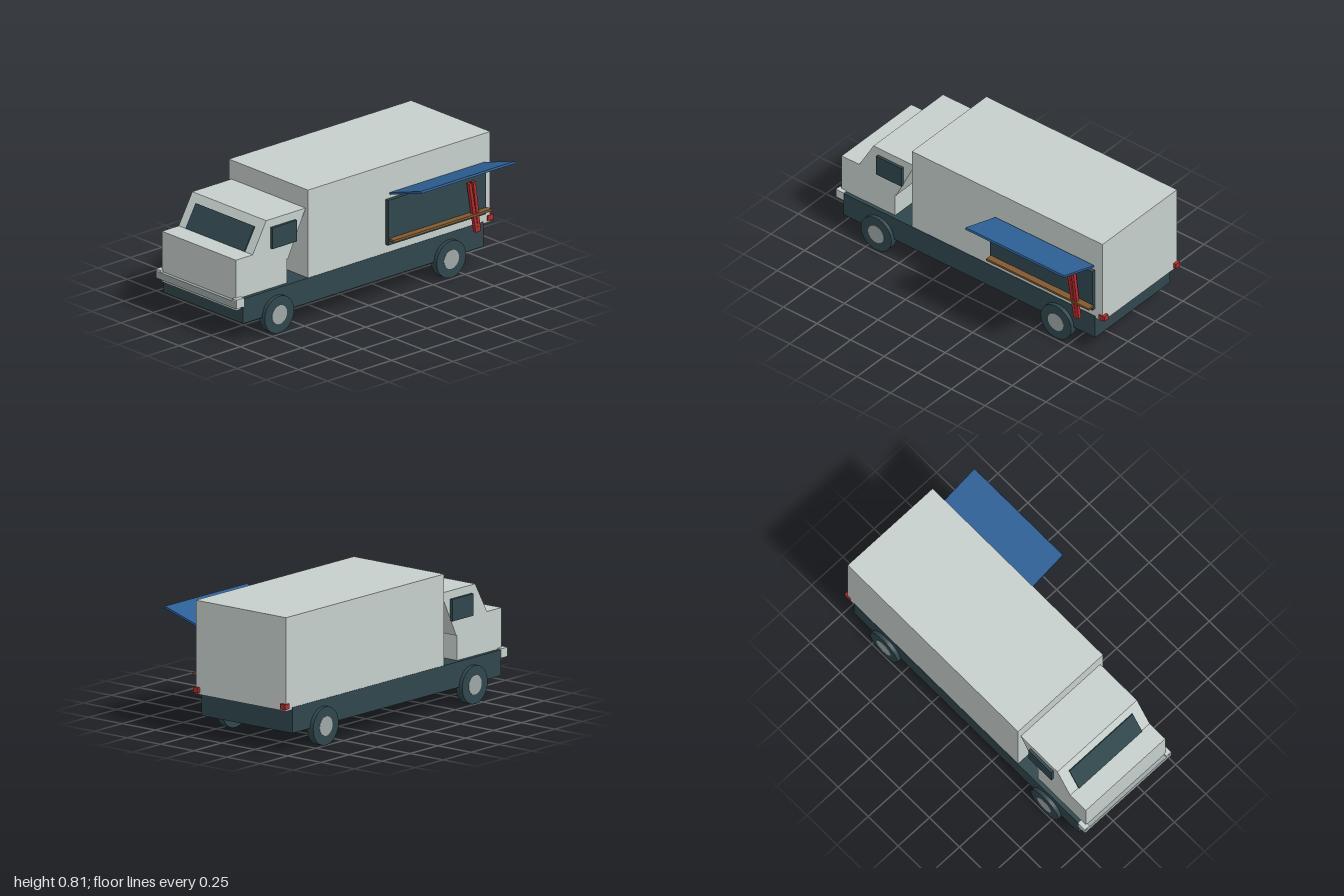
import * as THREE from 'three';

const CX = -0.13; // centre line of the truck body

export function createModel() {
  const model = new THREE.Group();
  model.name = 'foodTruck';

  const mat = (name, color) => {
    const m = new THREE.MeshStandardMaterial({ color });
    m.name = name;
    return m;
  };
  const paint = mat('pale grey paint', 0xc6cfcc);
  const steel = mat('mid grey metal', 0x9da6a6);
  const dark = mat('dark slate', 0x2f464c);
  const red = mat('red', 0xb42a2c);
  const blue = mat('blue', 0x2d6096);
  const wood = mat('brown wood', 0x80592f);

  const add = (name, geometry, material) => {
    const mesh = new THREE.Mesh(geometry, material);
    mesh.name = name;
    model.add(mesh);
    return mesh;
  };
  // Box given by its limits on each axis
  const box = (name, material, [x0, x1], [y0, y1], [z0, z1]) => {
    const mesh = add(name, new THREE.BoxGeometry(x1 - x0, y1 - y0, z1 - z0), material);
    mesh.position.set((x0 + x1) / 2, (y0 + y1) / 2, (z0 + z1) / 2);
    return mesh;
  };

  // Chassis and cargo body
  box('chassis', dark, [-0.472, 0.212], [0.118, 0.271], [-0.928, 0.944]);
  box('cargoBody', paint, [-0.47, 0.21], [0.257, 0.813], [-0.981, 0.437]);

  // Cab: side profile (z, y) extruded across the width
  const profile = [
    [0.58, 0.2], [0.978, 0.2], [0.978, 0.512], [0.848, 0.512],
    [0.742, 0.696], [0.436, 0.696], [0.572, 0.42], [0.58, 0.42],
  ].map(([z, y]) => new THREE.Vector2(z, y));
  const cabGeo = new THREE.ExtrudeGeometry(new THREE.Shape(profile), { depth: 0.636, bevelEnabled: false });
  cabGeo.rotateY(-Math.PI / 2);
  add('cab', cabGeo, paint).position.x = CX + 0.318;

  // Windscreen lying on the sloping front of the cab
  const glass = add('windscreen', new THREE.BoxGeometry(0.506, 0.158, 0.009), dark);
  glass.position.set(CX, 0.582, 0.811);
  glass.rotation.x = -Math.atan2(0.848 - 0.742, 0.696 - 0.512);

  // Front bumper
  box('bumperBar', steel, [-0.471, 0.211], [0.222, 0.264], [0.965, 1.0]);

  for (const side of [-1, 1]) {
    const label = side > 0 ? 'left' : 'right';
    const across = (a, b) => [CX + side * a, CX + side * b].sort((p, q) => p - q);

    box(label + 'CabWindow', dark, across(0.317, 0.335), [0.516, 0.647], [0.518, 0.708]);
    box(label + 'BumperCorner', paint, across(0.308, 0.346), [0.223, 0.278], [0.941, 0.999]);
    box(label + 'TailLight', red, across(0.309, 0.346), [0.268, 0.3], [-1.0, -0.957]);

    // Wheels with round hub caps
    for (const [end, z] of [['Front', 0.683], ['Rear', -0.655]]) {
      const tyreGeo = new THREE.CylinderGeometry(0.114, 0.114, 0.048, 32).rotateZ(Math.PI / 2);
      const tyre = add(label + end + 'Tyre', tyreGeo, dark);
      tyre.position.set(CX + side * 0.342, 0.115, z);
      const hubGeo = new THREE.CylinderGeometry(0.058, 0.058, 0.006, 28).rotateZ(Math.PI / 2);
      const hub = add(label + end + 'Hub', hubGeo, steel);
      hub.position.set(CX + side * 0.365, 0.115, z);
    }
  }

  // Serving hatch and its counter
  box('servingHatch', dark, [0.205, 0.235], [0.324, 0.602], [-0.925, -0.165]);
  box('counter', wood, [0.23, 0.277], [0.352, 0.366], [-0.933, -0.17]);

  // Raised awning
  const rise = Math.atan2(0.084, 0.272);
  const awning = add('awning', new THREE.BoxGeometry(0.285, 0.013, 0.735), blue);
  awning.position.set(0.356, 0.676, -0.557);
  awning.rotation.z = rise;

  // Two slanted red poles leaning by the counter
  for (const [i, top, bottom] of [[1, -0.771, -0.824], [2, -0.803, -0.844]]) {
    const pole = add('pole' + i, new THREE.BoxGeometry(0.022, 0.318, 0.02), red);
    pole.position.set(0.26, 0.406, (top + bottom) / 2);
    pole.rotation.x = Math.atan2(top - bottom, 0.318);
  }

  return model;
}
